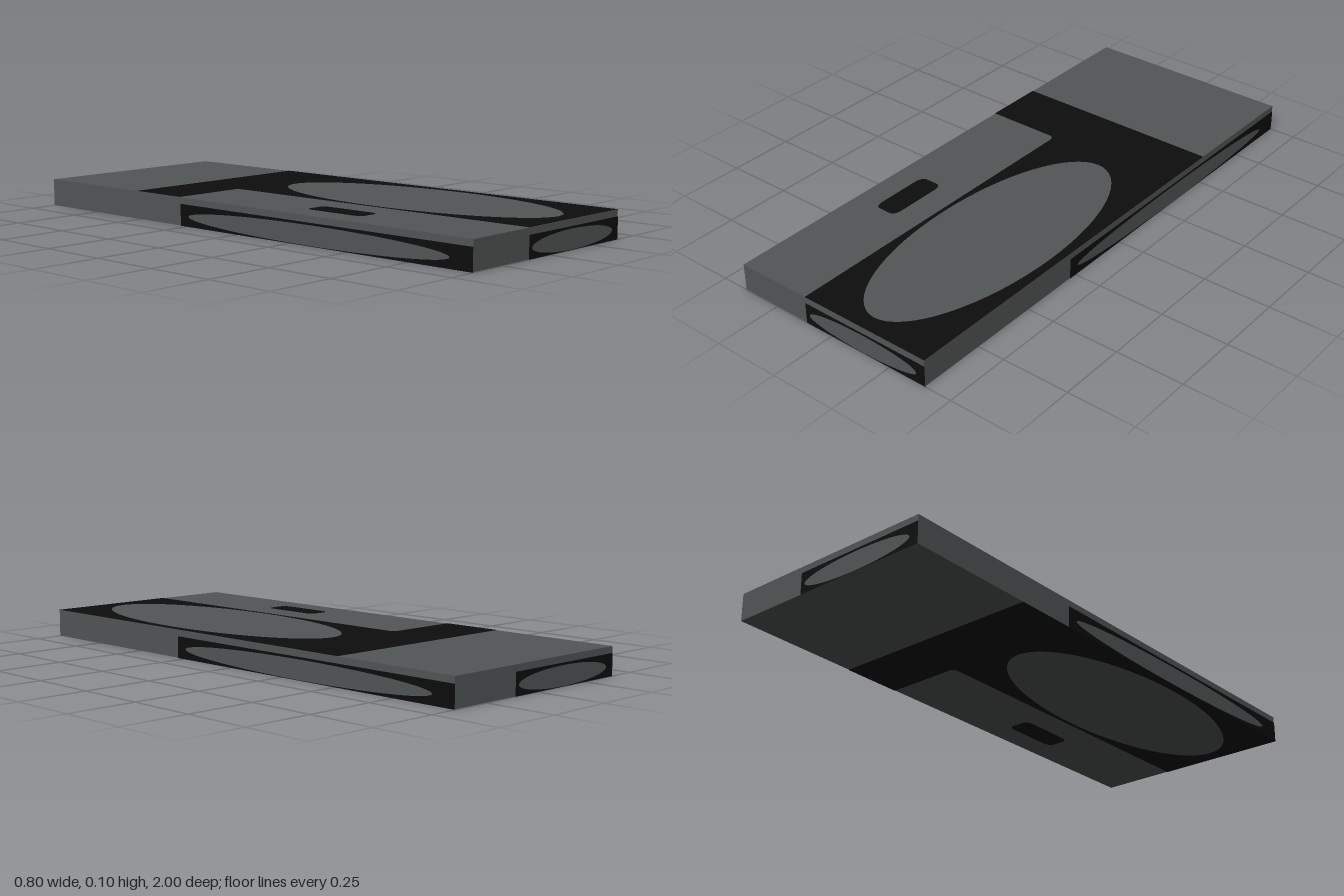
import * as THREE from 'three';

const W = 0.797, H = 0.102, L = 2, LIFT = 0.001;

// Painted frame outlined in unit face coordinates, with an oval opening
function frameShape(w, h, points, oval) {
  const s = new THREE.Shape(points.map(([u, v]) => new THREE.Vector2((u - 0.5) * w, (v - 0.5) * h)));
  const [u, v, ru, rv] = oval;
  const hole = new THREE.Path();
  hole.absellipse((u - 0.5) * w, (v - 0.5) * h, ru * w, rv * h, 0, Math.PI * 2, true);
  s.holes.push(hole);
  return s;
}

// Rounded slot beside the oval
function slotShape(w, h) {
  const s = new THREE.Shape();
  const x0 = (0.119 - 0.5) * w, x1 = (0.232 - 0.5) * w;
  const y0 = (0.262 - 0.5) * h, y1 = (0.383 - 0.5) * h;
  const rx = 0.024, ry = 0.04;
  s.moveTo(x0 + rx, y0);
  s.lineTo(x1 - rx, y0);
  s.quadraticCurveTo(x1, y0, x1, y0 + ry);
  s.lineTo(x1, y1 - ry);
  s.quadraticCurveTo(x1, y1, x1 - rx, y1);
  s.lineTo(x0 + rx, y1);
  s.quadraticCurveTo(x0, y1, x0, y1 - ry);
  s.lineTo(x0, y0 + ry);
  s.quadraticCurveTo(x0, y0, x0 + rx, y0);
  return s;
}

export function createModel() {
  const grey = new THREE.MeshStandardMaterial({ name: 'slate grey', color: 0x525656 });
  const black = new THREE.MeshStandardMaterial({ name: 'black', color: 0x0d0d0d });
  const model = new THREE.Group();
  model.name = 'slab';

  // Body
  const body = new THREE.Mesh(new THREE.BoxGeometry(W - 2 * LIFT, H - 2 * LIFT, L - 2 * LIFT), grey);
  body.name = 'body';
  body.position.y = H / 2;
  model.add(body);

  // Large faces: bent frame around the oval, plus the slot
  const bigFrame = frameShape(W, L,
    [[0.36, 0], [1, 0], [1, 0.757], [0, 0.757], [0, 0.642], [0.34, 0.642], [0.355, 0.638], [0.36, 0.63]],
    [0.669, 0.322, 0.291, 0.292]);
  const slot = slotShape(W, L);
  for (const [name, rot, y] of [['top', 0, H], ['bottom', Math.PI, 0]]) {
    const face = new THREE.Group();
    face.name = name + 'Face';
    face.position.y = y;
    face.rotation.z = rot;
    for (const [part, shape] of [['Frame', bigFrame], ['Slot', slot]]) {
      const mesh = new THREE.Mesh(new THREE.ShapeGeometry(shape, 32), black);
      mesh.name = name + part;
      mesh.rotation.x = -Math.PI / 2;
      face.add(mesh);
    }
    model.add(face);
  }

  // Edge faces: the same frame squeezed into each narrow side
  for (const [name, turn, w, d] of [
    ['front', 0, W, L], ['right', 1, L, W], ['back', 2, W, L], ['left', 3, L, W],
  ]) {
    const shape = frameShape(w, H, [[0.36, 0], [1, 0], [1, 0.765], [0.36, 0.765]],
      [0.668, 0.35, 0.288, 0.335]);
    const mesh = new THREE.Mesh(new THREE.ShapeGeometry(shape, 32), black);
    mesh.name = name + 'EdgeFrame';
    const angle = turn * Math.PI / 2;
    mesh.rotation.y = angle;
    mesh.position.set(Math.sin(angle) * d / 2, H / 2, Math.cos(angle) * d / 2);
    model.add(mesh);
  }
  return model;
}
